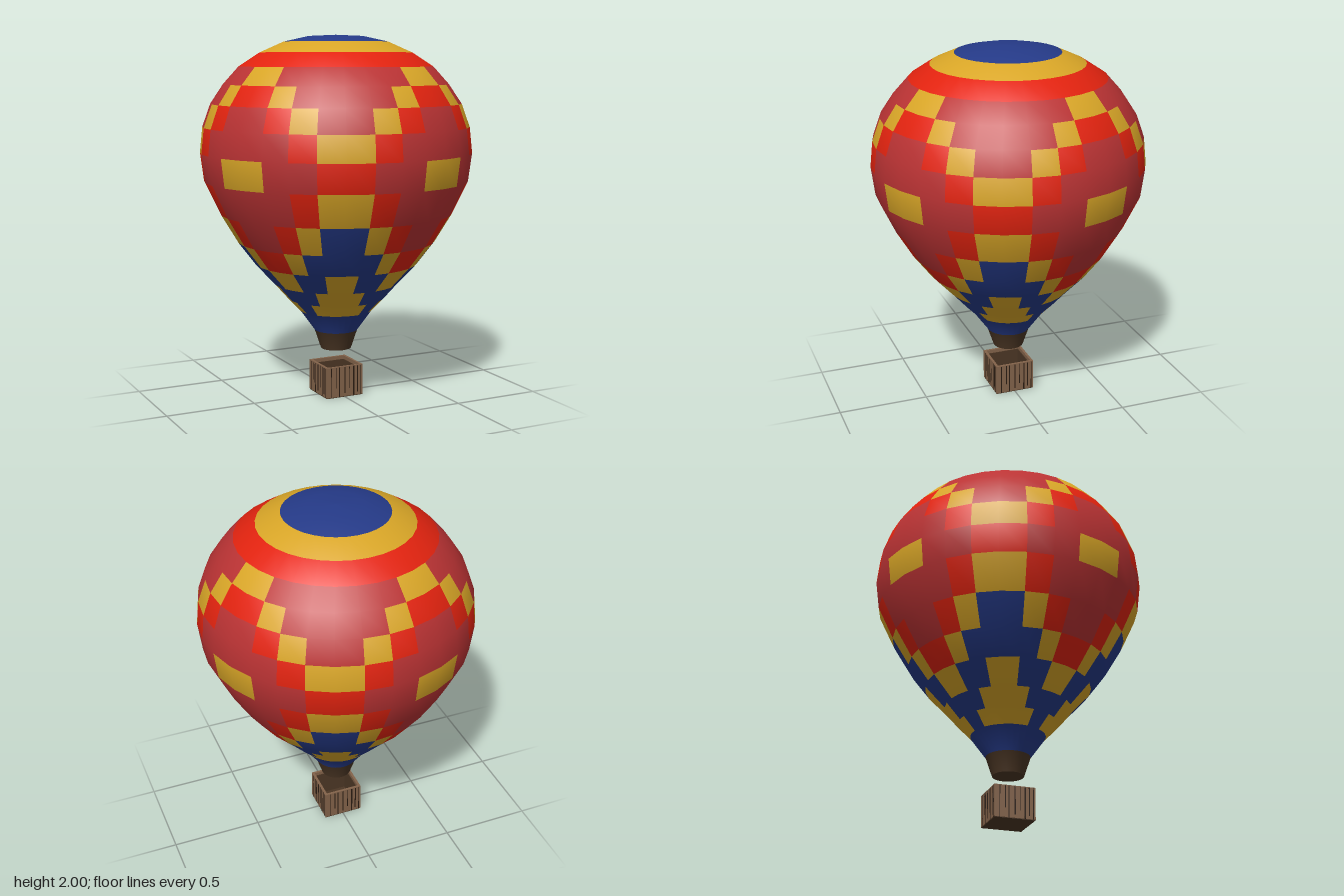
import * as THREE from 'three';

const mat = (name, color) => {
  const m = new THREE.MeshStandardMaterial({ color });
  m.name = name;
  return m;
};

export function createModel() {
  const root = new THREE.Group();
  root.name = 'hotAirBalloon';

  const crimson = mat('crimson', 0xbb3334);
  const red = mat('brightRed', 0xe3230f);
  const yellow = mat('goldenYellow', 0xd9a627);
  const blue = mat('navyBlue', 0x253a88);
  const darkBrown = mat('darkBrown', 0x4c3725);
  const wood = mat('wood', 0x83634a);
  const gap = mat('darkGap', 0x2a1c12);

  const add = (name, geo, material, parent = root) => {
    const m = new THREE.Mesh(geo, material);
    m.name = name;
    parent.add(m);
    return m;
  };

  // Envelope: lathe profile from the mouth up to the crown
  const SIDES = 32;
  const profile = [
    [0.085, 0.26], [0.12, 0.365], [0.203, 0.48], [0.27, 0.55], [0.345, 0.635],
    [0.452, 0.75], [0.547, 0.875], [0.64, 1.03], [0.725, 1.21], [0.745, 1.365],
    [0.73, 1.505], [0.685, 1.63], [0.615, 1.735], [0.53, 1.83], [0.415, 1.905],
    [0.285, 1.963], [0.15, 1.993], [0, 2],
  ].map(([r, y]) => new THREE.Vector2(r, y));

  // Panel colours per row, bottom to top; each row lists the four gores of
  // half a repeat (c crimson, r red, y yellow, b blue, k brown)
  const rows = [
    'kkkk', 'bbbb', 'yyyb', 'yybb', 'ybby', 'bbyr', 'byrc', 'yrcc', 'rccy',
    'yrcc', 'cyrc', 'ccyr', 'cccy', 'rrrr', 'yyyy', 'bbbb', 'bbbb',
  ];
  const palette = { c: crimson, r: red, y: yellow, b: blue, k: darkBrown };
  const keys = Object.keys(palette);

  // Sort the lathe's quads into one material group per colour
  const envelope = new THREE.LatheGeometry(profile, SIDES);
  const source = Array.from(envelope.index.array);
  const buckets = keys.map(() => []);
  for (let i = 0; i < SIDES; i++) {
    const c = (i + 2) % 8;               // eight gores per repeat
    const d = c < 4 ? c : 7 - c;         // mirrored halves
    rows.forEach((row, j) => {
      const start = (i * rows.length + j) * 6;
      buckets[keys.indexOf(row[d])].push(...source.slice(start, start + 6));
    });
  }
  envelope.setIndex(buckets.flat());
  let offset = 0;
  buckets.forEach((b, k) => {
    envelope.addGroup(offset, b.length, k);
    offset += b.length;
  });
  add('envelope', envelope, keys.map((k) => palette[k]));

  // Closed mouth of the skirt
  const mouth = add('mouth', new THREE.CircleGeometry(0.085, SIDES), darkBrown);
  mouth.rotation.x = Math.PI / 2;
  mouth.position.y = 0.26;

  // Open basket: floor and four plank walls with dark gaps between the planks
  const basket = new THREE.Group();
  basket.name = 'basket';
  root.add(basket);
  const W = 0.224, H = 0.175, T = 0.014;
  add('basketFloor', new THREE.BoxGeometry(W - 0.002, 0.012, W - 0.002), darkBrown, basket).position.y = 0.006;

  const gaps = [[-0.083, 0.004, 1], [-0.052, 0.004, 0.7], [-0.034, 0.006, 1], [0.0, 0.006, 0.9],
    [0.028, 0.003, 0.75], [0.055, 0.007, 1], [0.078, 0.006, 0.9], [0.1, 0.004, 1]];
  for (let s = 0; s < 4; s++) {
    const side = new THREE.Group();
    side.name = 'basketSide';
    side.rotation.y = s * Math.PI / 2;
    basket.add(side);
    add('wall', new THREE.BoxGeometry(W, H - 0.004, T), wood, side).position.set(0, H / 2 + 0.002, W / 2 - T / 2);
    add('wallLining', new THREE.BoxGeometry(W - 2 * T, H - 0.03, 0.004), darkBrown, side)
      .position.set(0, H / 2 - 0.005, W / 2 - T - 0.002);
    gaps.forEach(([x, w, f]) => {
      const h = (H - 0.008) * f;
      add('plankGap', new THREE.BoxGeometry(w, h, 0.003), gap, side).position.set(x, H - 0.004 - h / 2, W / 2);
    });
  }
  return root;
}
